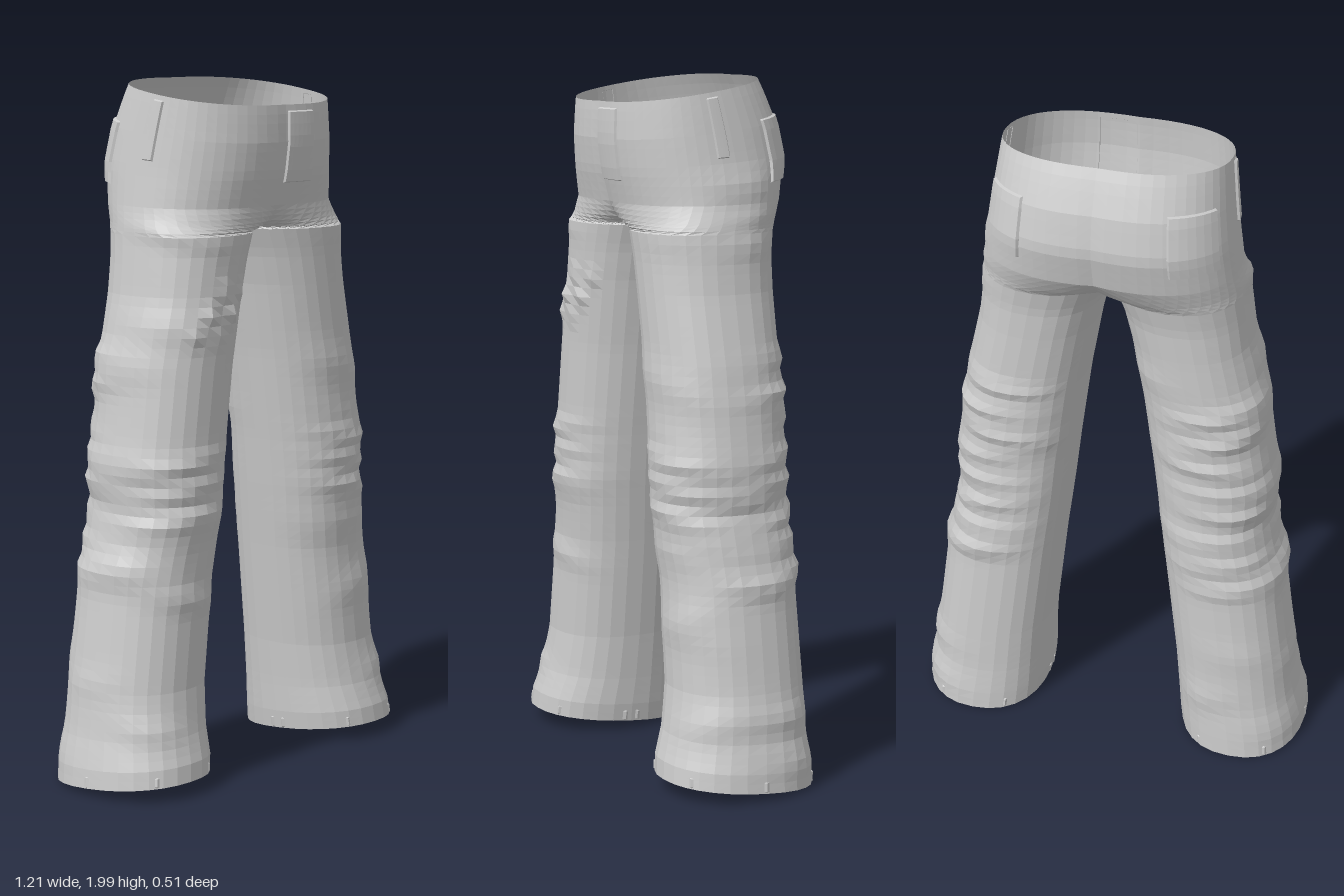
import * as THREE from 'three';

// Half cross-sections, bottom to top: y, inner x, outer x, back z, front z.
// Where inner x is negative the section is cut open at the centre line.
const SECTIONS = [
  [0.025, 0.222, 0.605, -0.195, 0.255],
  [0.08, 0.215, 0.6, -0.192, 0.25],
  [0.17, 0.21, 0.578, -0.185, 0.222],
  [0.3, 0.2, 0.56, -0.182, 0.205],
  [0.6, 0.165, 0.52, -0.175, 0.2],
  [0.8, 0.14, 0.475, -0.168, 0.212],
  [0.95, 0.122, 0.48, -0.165, 0.212],
  [1.2, 0.088, 0.445, -0.165, 0.21],
  [1.4, 0.053, 0.4, -0.168, 0.212],
  [1.5, 0.028, 0.387, -0.172, 0.213],
  [1.57, 0.0, 0.378, -0.185, 0.214],
  [1.6, -0.09, 0.372, -0.205, 0.215],
  [1.65, -0.18, 0.362, -0.237, 0.218],
  [1.75, -0.2, 0.348, -0.262, 0.238],
  [1.85, -0.21, 0.335, -0.243, 0.248],
  [1.93, -0.22, 0.325, -0.208, 0.246],
  [1.968, -0.22, 0.32, -0.188, 0.243],
];
const TOP = 1.968, BOTTOM = 0.025, CROTCH = 1.57;

function sectionAt(y) {
  let i = 0;
  while (i < SECTIONS.length - 2 && y > SECTIONS[i + 1][0]) i++;
  const a = SECTIONS[i], b = SECTIONS[i + 1];
  const f = (y - a[0]) / (b[0] - a[0]);
  return a.map((v, k) => v + (b[k] - v) * f);
}

function seeded(seed) {
  return () => {
    seed = (seed * 16807) % 2147483647;
    return seed / 2147483647;
  };
}

// Cloth folds: slanted ridges on the front, outside and back of one leg
function makeFolds(seed) {
  const rnd = seeded(seed);
  const folds = [];
  const add = (y, u, width, height, slope, amp) => folds.push({ y, u, width, height, slope, amp });
  for (let i = 0; i < 22; i++) {
    add(0.1 + rnd() * 1.6, rnd() * 1.5 - 0.75, 0.12 + rnd() * 0.15, 0.025 + rnd() * 0.03,
      rnd() * 0.3 - 0.15, 0.004 + rnd() * 0.008);
  }
  for (let i = 0; i < 8; i++) { // bunching behind the knee
    add(0.62 + i * 0.085, -0.5 + rnd() * 0.2, 0.25, 0.024, rnd() * 0.2 - 0.1, 0.012 + rnd() * 0.006);
  }
  for (let i = 0; i < 3; i++) { // knee creases
    add(0.79 + i * 0.075, 0.4, 0.3, 0.025, 0.08, 0.014);
  }
  return folds;
}

const FOLDS = { 1: makeFolds(71), '-1': makeFolds(1234) };
// Frayed thigh on the right leg
for (let i = 0; i < 6; i++) {
  FOLDS[-1].push({ y: 1.31 + (i % 3) * 0.045, u: 0.38 + i * 0.05, width: 0.035, height: 0.022, slope: 0.8, amp: 0.016 });
}

// Point on the cloth: u runs from -1 (inner back) over 0 (outside) to 1 (inner front)
function clothPoint(side, y, u, lift = 0) {
  const [, inner, outer, back, front] = sectionAt(y);
  const cx = (inner + outer) / 2, rx = (outer - inner) / 2;
  const cz = (back + front) / 2, rz = (front - back) / 2;
  const p = 0.88;
  const end = inner >= 0 ? Math.PI : Math.acos(-Math.pow(cx / rx, 1 / p));
  const t = u * end;
  const c = Math.cos(t), s = Math.sin(t);
  const bend = (v) => Math.sign(v) * Math.pow(Math.abs(v), p);

  let fold = 0;
  for (const f of FOLDS[side]) {
    const dy = (y - f.y - f.slope * (u - f.u)) / f.height;
    const du = (u - f.u) / f.width;
    fold += f.amp * Math.exp(-dy * dy - du * du);
  }
  fold = fold * (1 - u * u) * THREE.MathUtils.clamp((1.95 - y) / 0.2, 0, 1) + lift;

  let x = cx + rx * bend(c) + fold * c;
  if (y > CROTCH && Math.abs(u) === 1) x = 0;
  const z = cz + rz * bend(s) + fold * s;
  // Hem drops to the back, waist rises to the back
  const tilt = y < 0.3 ? 0.1 * (0.3 - y) / (0.3 - BOTTOM)
    : y > 1.6 ? -0.16 * (y - 1.6) / (TOP - 1.6) : 0;
  return [side * x, y + tilt * z, z];
}

// Grid surface from a list of heights and a list of u values
function surface(name, side, ys, us, lift = () => 0) {
  const pos = [], index = [];
  const n = us.length;
  ys.forEach((y, i) => us.forEach((u, j) => {
    pos.push(...clothPoint(side, y, u, lift(i, j)));
    if (i === 0 || j === 0) return;
    const d = i * n + j, c = d - 1, b = d - n, a = b - 1;
    if (side > 0) index.push(a, c, b, b, c, d);
    else index.push(a, b, c, b, d, c);
  }));
  const geometry = new THREE.BufferGeometry();
  geometry.setAttribute('position', new THREE.Float32BufferAttribute(pos, 3));
  geometry.setIndex(index);
  geometry.computeVertexNormals();
  const mesh = new THREE.Mesh(geometry, new THREE.MeshStandardMaterial({
    color: 0xcccccc, flatShading: true, side: THREE.DoubleSide,
  }));
  mesh.name = name;
  return mesh;
}

const span = (a, b, n) => Array.from({ length: n + 1 }, (_, i) => (i === n ? b : a + (b - a) * i / n));

// Sewn-on piece whose border sinks into the cloth
function patch(name, side, y0, y1, u0, u1, height) {
  const ys = [y0, ...span(y0 + 0.004, y1 - 0.004, 6), y1];
  const us = [u0, ...span(u0 + 0.01, u1 - 0.01, 6), u1];
  return surface(name, side, ys, us, (i, j) =>
    (i === 0 || j === 0 || i === ys.length - 1 || j === us.length - 1 ? -0.002 : height));
}

export function createModel() {
  const group = new THREE.Group();
  group.name = 'trousers';

  const legRows = span(BOTTOM, CROTCH, 56);
  const hipRows = [...span(CROTCH, 1.6, 3), ...span(1.6, 1.65, 3).slice(1), ...span(1.65, TOP, 11).slice(1)];
  const around = span(-1, 1, 28);

  for (const side of [1, -1]) {
    const label = side > 0 ? 'left' : 'right';
    group.add(surface(label + 'Leg', side, legRows, around));
    group.add(surface(label + 'Hip', side, hipRows, around));
    group.add(patch(label + 'BackPocket', side, 1.7, 1.87, -0.62, -0.25, 0.007));
    group.add(patch(label + 'SideSeam', side, 1.78, 1.955, 0.02, 0.1, 0.006));
    group.add(patch(label + 'Hem', side, 0.027, 0.06, -0.99, 0.99, 0.003));
  }
  group.add(patch('fly', 1, 1.72, 1.95, 0.8, 0.99, 0.006));
  return group;
}
